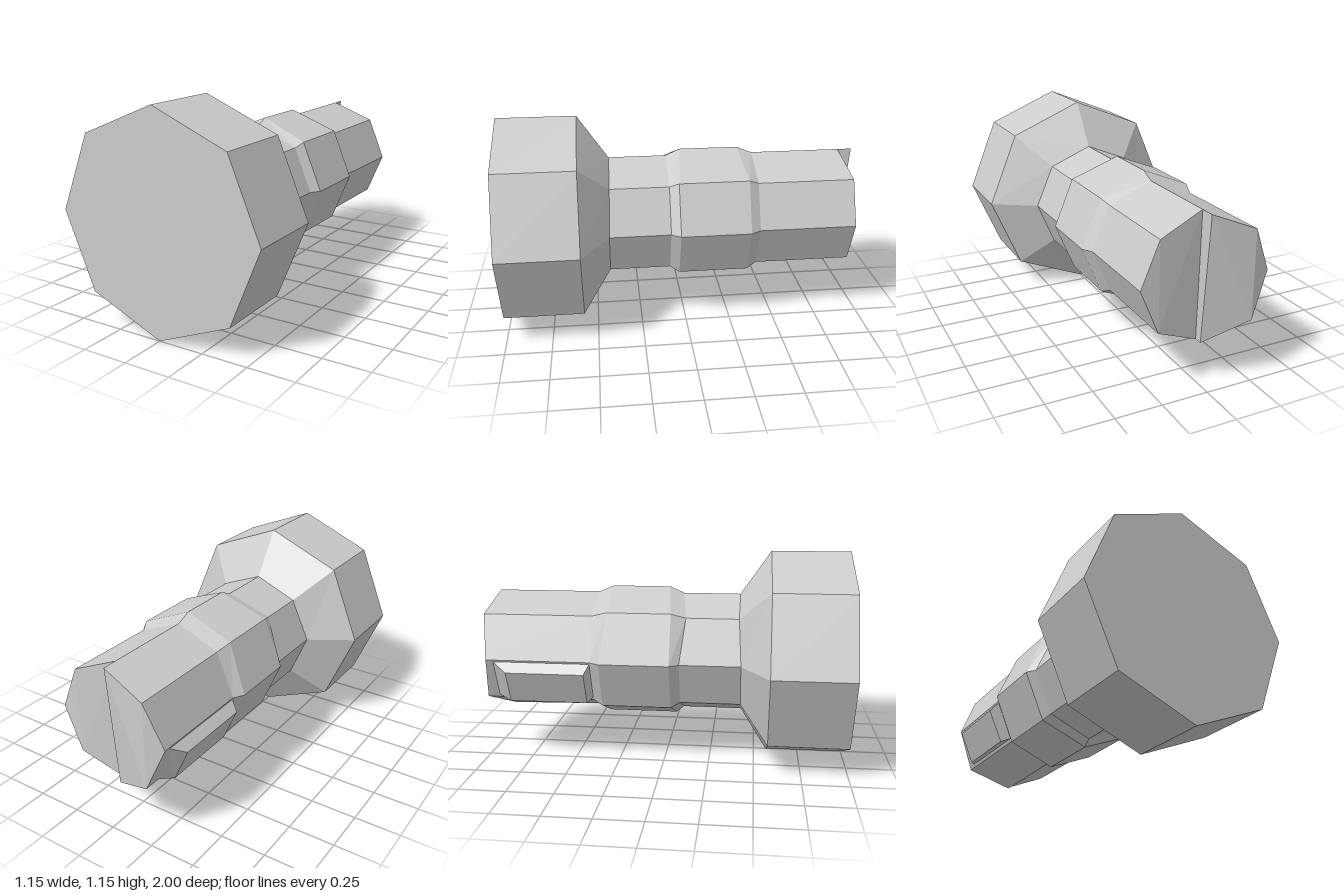
import * as THREE from 'three';

const CY = 0.58; // height of the bolt axis

// Octagon of points, starting at the top and turning towards -x; z is one value or one per corner
function octagon(r, z) {
  return Array.from({ length: 8 }, (_, i) => {
    const a = Math.PI / 2 + (i * Math.PI) / 4;
    return [r * Math.cos(a), CY + r * Math.sin(a), Array.isArray(z) ? z[i] : z];
  });
}

// Triangle fan over each polygon (corners counter-clockwise from outside)
function mesh(name, polygons, material) {
  const pos = [];
  for (const p of polygons)
    for (let i = 1; i < p.length - 1; i++) pos.push(...p[0], ...p[i], ...p[i + 1]);
  const g = new THREE.BufferGeometry();
  g.setAttribute('position', new THREE.Float32BufferAttribute(pos, 3));
  g.computeVertexNormals();
  const m = new THREE.Mesh(g, material);
  m.name = name;
  return m;
}

// Side faces between a front ring and a ring behind it
function band(a, b, from = 0, to = 8) {
  const out = [];
  for (let i = from; i < to; i++) {
    const k = (i + 1) % 8;
    out.push([a[i], b[i], b[k], a[k]]);
  }
  return out;
}

// End of one half of the shaft, with corners from top to bottom
const halfEnd = ([t, u, s, l, b]) => [[t, u, l], [u, s, l], [t, l, b]];

export function createModel() {
  const group = new THREE.Group();
  const steel = new THREE.MeshStandardMaterial({ color: 0xcccccc, flatShading: true });
  steel.name = 'lightGrey';

  // Head: octagonal prism with a tapered back
  const front = octagon(0.577, 1);
  const rim = octagon(0.577, 0.57);
  const neck = octagon(0.335, [0.405, 0.405, 0.42, 0.42, 0.42, 0.42, 0.42, 0.41]);
  group.add(mesh('head', [front, ...band(front, rim), ...band(rim, neck)], steel));

  // Shaft in front of the collar, and the raised collar
  const c1 = octagon(0.335, [0.09, 0.12, 0.09, 0.09, 0.09, 0.09, 0.09, 0.09]);
  const c2 = octagon(0.37, [0.01, 0.04, 0.04, 0.04, 0.05, 0.04, 0.04, 0.04]);
  const c3 = octagon(0.37, [-0.31, -0.31, -0.34, -0.34, -0.34, -0.34, -0.34, -0.34]);
  const c4 = octagon(0.335, -0.395);
  group.add(mesh('frontShaft', band(neck, c1), steel));
  group.add(mesh('collar', [...band(c1, c2), ...band(c2, c3), ...band(c3, c4)], steel));

  // Rear shaft: the two halves end at different depths, with a step between them
  const endR = octagon(0.335, [-0.975, -1, -0.97, -1, -0.92, 0, 0, 0]);
  const endL = octagon(0.335, [-0.895, 0, 0, 0, -0.877, -0.925, -0.925, -0.925]);
  endR[4][1] = endL[4][1] = 0.235;
  const left = [endL[0], endL[7], endL[6], endL[5], endL[4]];
  const right = endR.slice(0, 5);
  group.add(mesh('rearShaft', [
    ...band(c4, endR, 0, 4),
    ...band(c4, [endL[0], ...endL.slice(1)], 4, 8),
  ], steel));
  group.add(mesh('brokenEnd', [
    ...halfEnd(left),
    ...halfEnd(right).map((p) => p.reverse()),
    [endL[0], endL[4], endR[4], endR[0]],
  ], steel));

  // Raised key on the lower right face of the rear shaft
  const base = [[-0.332, 0.57, -0.93], [-0.245, 0.36, -0.93], [-0.245, 0.36, -0.395], [-0.332, 0.57, -0.395]];
  const top = [[-0.375, 0.52, -0.85], [-0.295, 0.34, -0.85], [-0.295, 0.34, -0.42], [-0.375, 0.52, -0.42]];
  const sides = base.map((p, i) => [p, base[(i + 1) % 4], top[(i + 1) % 4], top[i]]);
  group.add(mesh('key', [top, ...sides], steel));

  return group;
}
